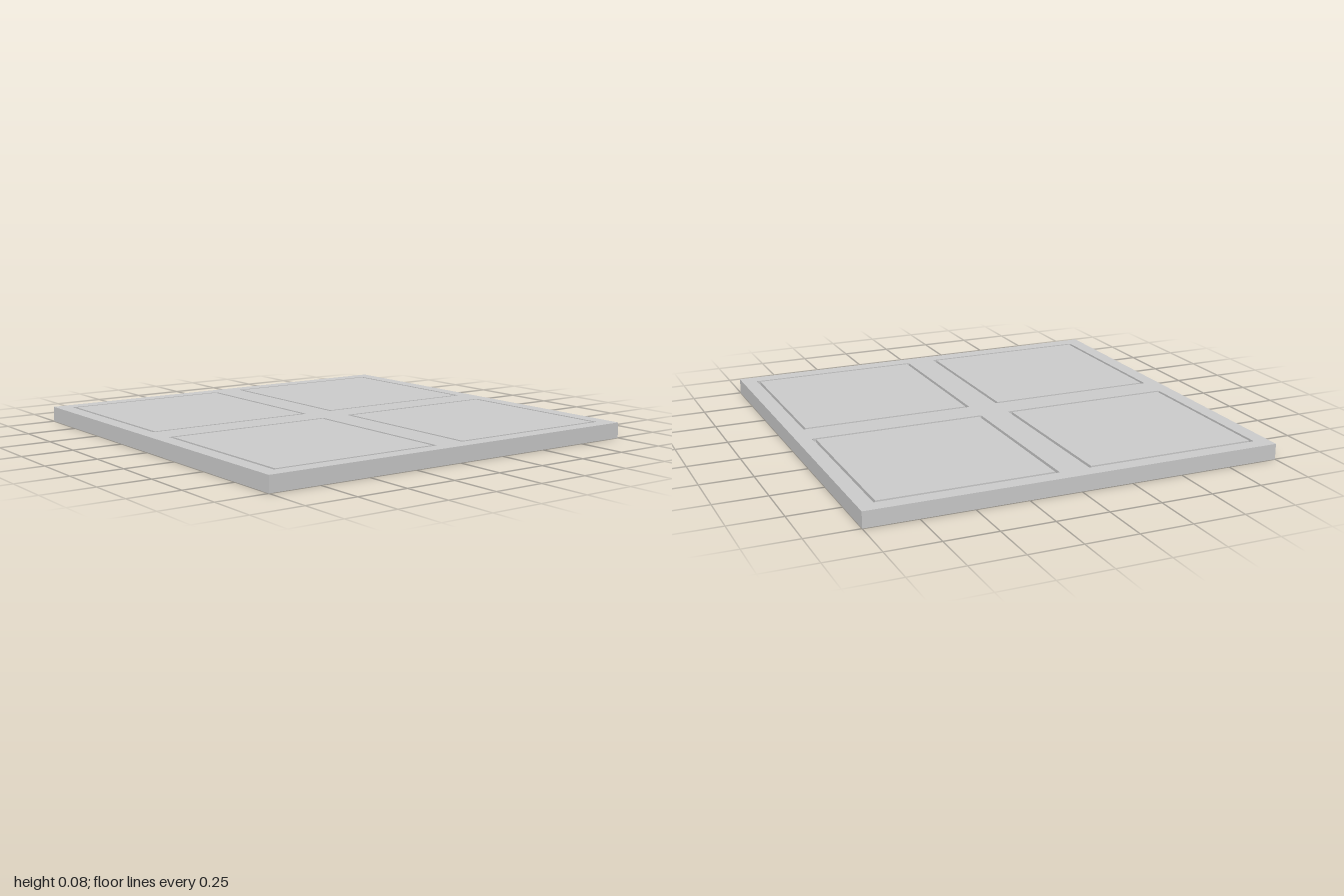
import * as THREE from 'three';

const HEIGHT = 0.075;  // total thickness
const GROOVE = 0.016;  // groove width and depth
const OUTER = 0.856;   // size of a square to the groove's outer edge
const CORNER = 0.008;  // rounding of the groove's outer corners

// Square outline with rounded corners, centred on (cx, cy)
function roundedSquare(path, cx, cy, size, r) {
  const h = size / 2;
  path.moveTo(cx - h + r, cy - h);
  path.lineTo(cx + h - r, cy - h);
  path.absarc(cx + h - r, cy - h + r, r, -Math.PI / 2, 0);
  path.absarc(cx + h - r, cy + h - r, r, 0, Math.PI / 2);
  path.absarc(cx - h + r, cy + h - r, r, Math.PI / 2, Math.PI);
  path.absarc(cx - h + r, cy - h + r, r, Math.PI, Math.PI * 1.5);
  path.closePath();
  return path;
}

export function createModel() {
  const group = new THREE.Group();
  const material = new THREE.MeshStandardMaterial({ color: 0xcccccc });
  const add = (name, geometry, x, y, z) => {
    const mesh = new THREE.Mesh(geometry, material);
    mesh.name = name;
    mesh.position.set(x, y, z);
    group.add(mesh);
  };
  const floor = HEIGHT - GROOVE;

  // Solid slab up to the groove floor
  add('baseSlab', new THREE.BoxGeometry(2, floor, 2), 0, floor / 2, 0);

  // Surface frame with four square openings
  const frame = new THREE.Shape([
    new THREE.Vector2(-1, -1), new THREE.Vector2(1, -1),
    new THREE.Vector2(1, 1), new THREE.Vector2(-1, 1),
  ]);
  const inner = OUTER - 2 * GROOVE;
  for (const x of [-0.5, 0.5]) {
    for (const z of [-0.5, 0.5]) {
      frame.holes.push(roundedSquare(new THREE.Path(), x, z, OUTER, CORNER));
      // Flush panel inside the groove
      add('panel', new THREE.BoxGeometry(inner, GROOVE, inner), x, floor + GROOVE / 2, z);
    }
  }
  const frameGeometry = new THREE.ExtrudeGeometry(frame, {
    depth: GROOVE, bevelEnabled: false, curveSegments: 4,
  });
  frameGeometry.rotateX(-Math.PI / 2);
  add('surfaceFrame', frameGeometry, 0, floor, 0);

  return group;
}
